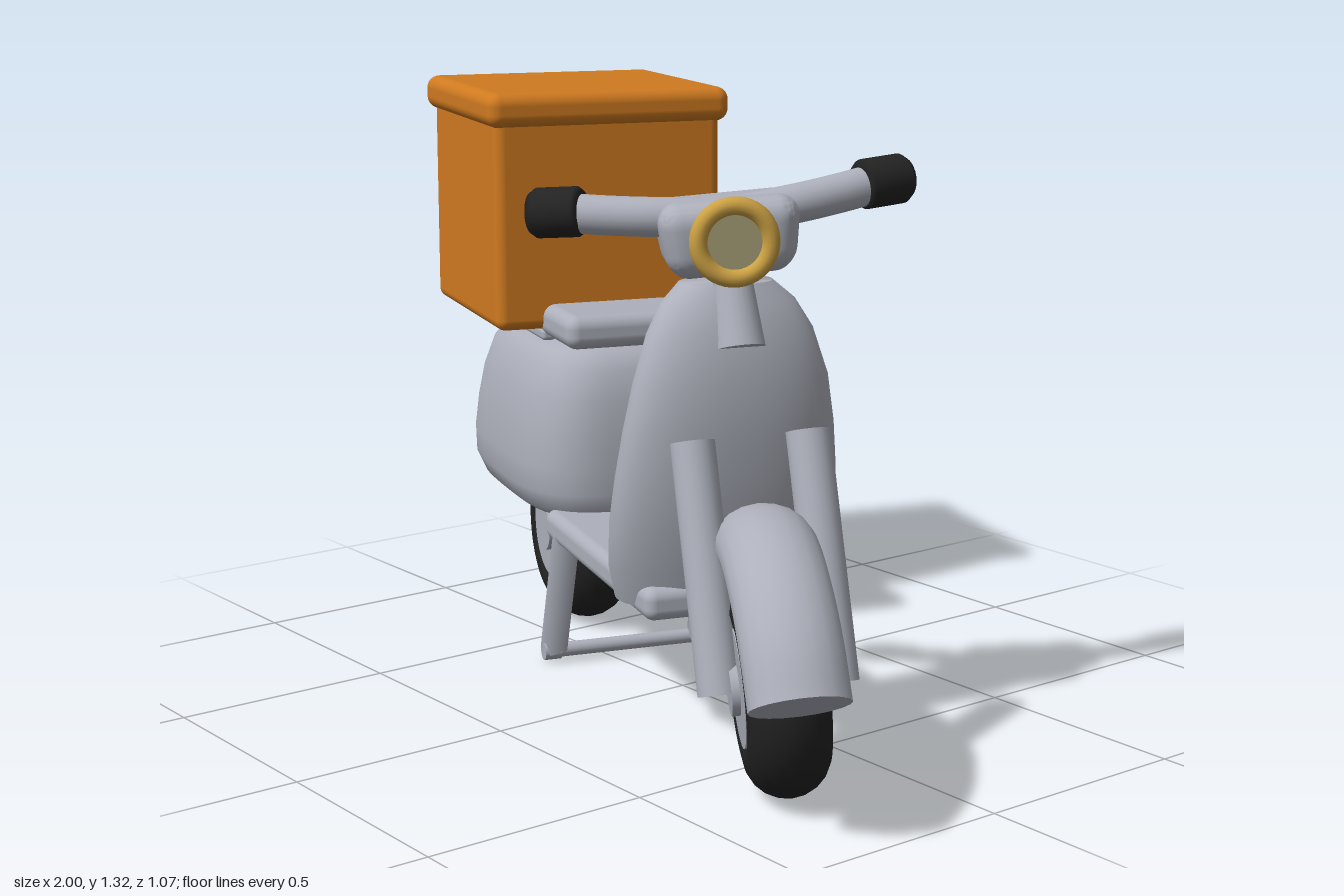
import * as THREE from 'three';
import { toCreasedNormals } from 'three/addons/utils/BufferGeometryUtils.js';
import { RoundedBoxGeometry } from 'three/addons/geometries/RoundedBoxGeometry.js';

const mat = (name, color) => {
  const m = new THREE.MeshStandardMaterial({ color });
  m.name = name;
  return m;
};
const V = (x, y, z) => new THREE.Vector3(x, y, z);

export function createModel() {
  const silver = mat('silver', 0xadb0bb);
  const orange = mat('orange', 0xcf7a20);
  const black = mat('black', 0x232323);
  const gold = mat('gold', 0xcda244);
  const glass = mat('lens', 0xa19a73);

  const add = (parent, name, geometry, material, x = 0, y = 0, z = 0) => {
    const m = new THREE.Mesh(geometry, material);
    m.name = name;
    m.position.set(x, y, z);
    parent.add(m);
    return m;
  };
  const group = (parent, name) => {
    const g = new THREE.Group();
    g.name = name;
    parent.add(g);
    return g;
  };

  // Straight bar between two points
  const rod = (parent, name, a, b, r0, r1, material, sides = 24) => {
    const g = new THREE.CylinderGeometry(r1, r0, a.distanceTo(b), sides);
    const m = add(parent, name, g, material);
    m.position.copy(a).lerp(b, 0.5);
    m.quaternion.setFromUnitVectors(V(0, 1, 0), b.clone().sub(a).normalize());
    return m;
  };

  // Closed tube along a curve, tapering from r0 to r1
  const sweep = (parent, name, curve, r0, r1, material, n = 36) => {
    const tube = group(parent, name);
    const geo = new THREE.TubeGeometry(curve, n, 1, 20);
    const p = geo.attributes.position;
    const v = V(0, 0, 0);
    for (let i = 0; i < p.count; i++) {
      const t = Math.floor(i / 21) / n;
      const c = curve.getPointAt(t);
      v.fromBufferAttribute(p, i).sub(c).multiplyScalar(r0 + (r1 - r0) * t).add(c);
      p.setXYZ(i, v.x, v.y, v.z);
    }
    add(tube, name + 'Wall', geo, material);
    [[0, r0, -1], [1, r1, 1]].forEach(([t, r, s]) => {
      const cap = add(tube, name + 'End', new THREE.CircleGeometry(r, 20), material);
      cap.position.copy(curve.getPointAt(t));
      cap.quaternion.setFromUnitVectors(V(0, 0, 1), curve.getTangentAt(t).multiplyScalar(s));
    });
    return tube;
  };

  // Stacked superellipse sections: [y, centre x, half length, half width]
  const loft = (levels, power, N = 48) => {
    const pos = [], idx = [];
    const pw = (c) => Math.sign(c) * Math.pow(Math.abs(c), 2 / power);
    levels.forEach(([y, cx, a, b]) => {
      for (let i = 0; i < N; i++) {
        const t = (i / N) * Math.PI * 2;
        pos.push(cx + a * pw(Math.cos(t)), y, b * pw(Math.sin(t)));
      }
    });
    const last = levels.length - 1;
    [0, last].forEach((j) => pos.push(levels[j][1], levels[j][0], 0));
    const bottom = N * levels.length;
    for (let i = 0; i < N; i++) {
      const k = (i + 1) % N;
      for (let j = 0; j < last; j++) {
        const a = j * N + i, b = j * N + k;
        idx.push(a, a + N, b, b, a + N, b + N);
      }
      idx.push(bottom, i, k, bottom + 1, last * N + k, last * N + i);
    }
    const g = new THREE.BufferGeometry();
    g.setAttribute('position', new THREE.Float32BufferAttribute(pos, 3));
    g.setIndex(idx);
    return toCreasedNormals(g, 0.75);
  };

  // Tyre with wheel disc and hub, axle along z
  const wheel = (parent, name, x, y) => {
    const w = group(parent, name);
    w.position.set(x, y, 0);
    add(w, name + 'Tyre', new THREE.TorusGeometry(0.149, 0.08, 20, 48), black).scale.z = 1.06;
    [['Disc', 0.122, 0.166], ['Hub', 0.055, 0.2]].forEach(([part, r, len]) => {
      add(w, name + part, new THREE.CylinderGeometry(r, r, len, 36), silver).rotation.x = Math.PI / 2;
    });
  };

  const model = new THREE.Group();
  model.name = 'scooter';
  // Whole scooter drives along its own +x, turned a little towards the front
  const body = group(model, 'scooterBody');
  body.position.z = 0.045;
  body.rotation.y = -Math.PI / 10;

  // Delivery box and rack
  add(body, 'boxBody', new RoundedBoxGeometry(0.55, 0.5, 0.55, 4, 0.025), orange, -0.667, 1.025, 0);
  add(body, 'boxLid', new RoundedBoxGeometry(0.588, 0.08, 0.588, 4, 0.03), orange, -0.667, 1.287, 0);
  add(body, 'rack', new RoundedBoxGeometry(0.56, 0.028, 0.33, 3, 0.01), silver, -0.68, 0.761, 0);

  // Seat, rear cowl, floor
  add(body, 'seat', new RoundedBoxGeometry(0.42, 0.078, 0.33, 4, 0.03), silver, -0.41, 0.796, 0);
  add(body, 'rearCowl', loft([
    [0.352, -0.553, 0.32, 0.2], [0.37, -0.562, 0.345, 0.222], [0.41, -0.573, 0.362, 0.238],
    [0.47, -0.573, 0.364, 0.24], [0.55, -0.564, 0.354, 0.234], [0.63, -0.556, 0.338, 0.222],
    [0.7, -0.55, 0.315, 0.2], [0.735, -0.547, 0.288, 0.175], [0.752, -0.545, 0.25, 0.14],
  ], 3.2), silver);
  add(body, 'floorBoard', new RoundedBoxGeometry(0.73, 0.07, 0.392, 4, 0.025), silver, 0.06, 0.336, 0);

  // Leg shield
  add(body, 'legShield', loft([
    [0.32, 0.29, 0.125, 0.215], [0.4, 0.315, 0.122, 0.238], [0.5, 0.345, 0.115, 0.246],
    [0.6, 0.37, 0.106, 0.242], [0.7, 0.385, 0.098, 0.23], [0.8, 0.395, 0.09, 0.212],
    [0.9, 0.388, 0.08, 0.18], [0.96, 0.375, 0.072, 0.145], [1.0, 0.362, 0.064, 0.1],
  ], 2.2), silver);

  wheel(body, 'rearWheel', -0.634, 0.232);

  // Exhaust on the left side
  sweep(body, 'exhaust', new THREE.CatmullRomCurve3([
    V(-0.24, 0.225, -0.1), V(-0.4, 0.222, -0.155), V(-0.56, 0.232, -0.22),
    V(-0.74, 0.268, -0.25), V(-0.93, 0.305, -0.25),
  ]), 0.038, 0.06, silver);

  // Centre stand
  const stand = group(body, 'centreStand');
  for (const s of [-1, 1]) {
    const leg = rod(stand, 'standLeg', V(-0.215, 0.32, s * 0.17), V(-0.29, 0.03, s * 0.18), 0.032, 0.032, silver, 4);
    leg.rotateY(Math.PI / 4);
    rod(stand, 'standFoot', V(-0.29, 0.028, s * 0.165), V(-0.29, 0.028, s * 0.205), 0.021, 0.021, silver);
  }
  rod(stand, 'standBar', V(-0.29, 0.028, -0.2), V(-0.29, 0.028, 0.2), 0.017, 0.017, silver);

  // Steered front end: tilted axis through the wheel centre, turned to the right
  const rake = 0.326;
  const head = group(body, 'steeringAxis');
  head.position.set(0.68, 0.232, 0.006);
  head.rotation.z = rake;
  const column = group(head, 'steeringColumn');
  column.rotation.y = -0.26;
  const steer = group(column, 'frontEnd');
  steer.rotation.z = -rake;

  // Fork legs and column run along the axis
  for (const s of [-1, 1]) {
    rod(column, 'forkLeg', V(0, -0.01, s * 0.118), V(0, 0.5, s * 0.118), 0.046, 0.046, silver);
  }
  rod(column, 'headColumn', V(0, 0.68, 0), V(0, 0.9, 0), 0.052, 0.034, silver);
  wheel(steer, 'frontWheel', 0, 0);

  // Front mudguard
  const arc = [];
  for (let i = 0; i <= 8; i++) {
    const t = -1.06 + (i / 8) * 2.2;
    arc.push(V(0.365 * Math.sin(t), -0.085 + 0.365 * Math.cos(t), 0));
  }
  sweep(steer, 'frontMudguard', new THREE.CatmullRomCurve3(arc), 0.08, 0.08, silver).scale.z = 1.25;

  // Headset, narrower at the bottom
  const headset = new RoundedBoxGeometry(0.2, 0.155, 0.3, 5, 0.05);
  const hp = headset.attributes.position;
  for (let i = 0; i < hp.count; i++) {
    const k = 0.93 + hp.getY(i) * 0.9;
    hp.setX(i, hp.getX(i) * k);
    hp.setZ(i, hp.getZ(i) * k);
  }
  headset.computeVertexNormals();
  const ax = -0.294;
  add(steer, 'headset', toCreasedNormals(headset, 1), silver, ax, 0.868, 0);

  // Headlight
  const lamp = group(steer, 'headlight');
  lamp.position.set(ax + 0.125, 0.87, 0);
  lamp.rotation.y = Math.PI / 2;
  add(lamp, 'headlightRim', new THREE.TorusGeometry(0.073, 0.019, 14, 40), gold);
  const shell = add(lamp, 'headlightShell', new THREE.CylinderGeometry(0.07, 0.06, 0.06, 32), silver, 0, 0, -0.031);
  shell.rotation.x = Math.PI / 2;
  add(lamp, 'headlightLens', new THREE.CircleGeometry(0.066, 32), glass, 0, 0, 0.004);

  // Handlebar with grips
  const side = [[0.25, -0.035, 0.925], [0.14, -0.005, 0.915]];
  const ends = (s) => side.map(([z, x, y]) => V(ax + x, y, s * z));
  const tip = (s, z, x) => V(ax + x, 0.934, s * z);
  const right = ends(1), left = ends(-1);
  sweep(steer, 'handlebar', new THREE.CatmullRomCurve3([
    tip(-1, 0.33, -0.066), left[0], left[1], V(ax + 0.005, 0.905, 0),
    right[1], right[0], tip(1, 0.33, -0.066),
  ]), 0.041, 0.041, silver);
  for (const s of [-1, 1]) {
    const a = tip(s, 0.287, -0.05), b = tip(s, 0.39, -0.092);
    const grip = rod(steer, 'grip', a, b, 0.05, 0.05, black);
    grip.geometry = new THREE.LatheGeometry([[0, -0.056], [0.044, -0.056], [0.052, -0.046],
      [0.052, 0.042], [0.042, 0.056], [0, 0.056]].map(([x, y]) => new THREE.Vector2(x, y)), 28);
  }
  return model;
}
